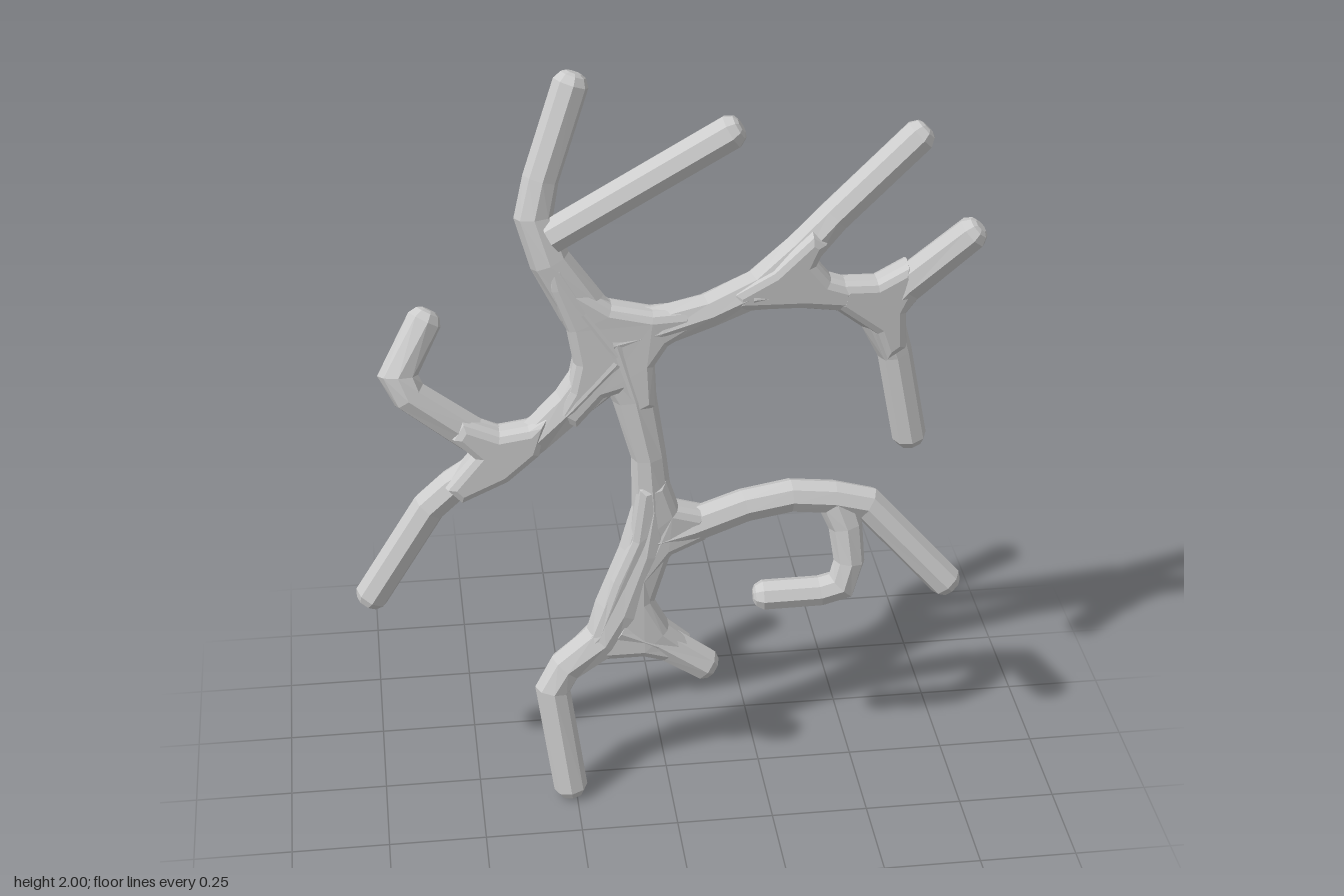
import * as THREE from 'three';

const material = new THREE.MeshStandardMaterial({ color: 0xcccccc, flatShading: true });
const SIDES = 8;
const R = 0.044;

// Octagonal limb through [x, y, z, radius?] points, with a blunt bevelled tip at its end.
function limb(name, pts) {
  const path = pts.map(p => ({ pos: new THREE.Vector3(p[0], p[1], p[2]), r: p[3] ?? R }));
  const last = path[path.length - 1];
  const end = last.pos.clone();
  const back = path[path.length - 2].pos.clone().sub(end).normalize();
  last.pos.addScaledVector(back, 0.026);
  path.push({ pos: end.clone().addScaledVector(back, 0.006), r: last.r * 0.72 });
  path.push({ pos: end, r: last.r * 0.42 });

  const front = new THREE.Vector3(0, 0, 1);
  const positions = [], index = [];
  const n = path.length;
  path.forEach(({ pos, r }, i) => {
    const a = path[Math.max(i - 1, 0)].pos, b = path[Math.min(i + 1, n - 1)].pos;
    const dirIn = pos.clone().sub(a).normalize(), dirOut = b.clone().sub(pos).normalize();
    const t = dirIn.clone().add(dirOut).normalize();
    const miter = i > 0 && i < n - 1 ? 1 / Math.max(0.8, t.dot(dirOut)) : 1;
    const u = front.clone().cross(t).normalize();
    const v = t.clone().cross(u);
    for (let k = 0; k < SIDES; k++) {
      const ang = (k / SIDES) * Math.PI * 2;
      const p = pos.clone().addScaledVector(u, Math.cos(ang) * r * miter).addScaledVector(v, Math.sin(ang) * Math.min(r, R));
      positions.push(p.x, p.y, p.z);
      if (i < n - 1) {
        const k2 = (k + 1) % SIDES, s = i * SIDES;
        index.push(s + k, s + k2, s + SIDES + k, s + k2, s + SIDES + k2, s + SIDES + k);
      }
    }
  });
  // end caps
  const e = (n - 1) * SIDES;
  for (let k = 1; k < SIDES - 1; k++) index.push(0, k + 1, k, e, e + k, e + k + 1);
  const geo = new THREE.BufferGeometry();
  geo.setAttribute('position', new THREE.Float32BufferAttribute(positions, 3));
  geo.setIndex(index);
  geo.computeVertexNormals();
  const mesh = new THREE.Mesh(geo, material);
  mesh.name = name;
  return mesh;
}

// The flat spread of branches drifts backward toward +x.
const depthAt = x => 0.045 - 0.18 * Math.max(0, x + 0.05);

// Bevelled web that fills a fork; its outline has concave fillets.
function web(name, outline) {
  const shape = new THREE.Shape(outline.map(p => new THREE.Vector2(p[0], p[1])));
  const bevel = 0.022;
  const geo = new THREE.ExtrudeGeometry(shape, {
    depth: 0.032, bevelEnabled: true, bevelSize: bevel, bevelOffset: -bevel,
    bevelThickness: 0.026, bevelSegments: 2, steps: 1,
  });
  const p = geo.attributes.position;
  for (let i = 0; i < p.count; i++) p.setZ(i, p.getZ(i) - 0.016 + depthAt(p.getX(i)));
  geo.computeVertexNormals();
  const mesh = new THREE.Mesh(geo, material);
  mesh.name = name;
  return mesh;
}

export function createModel() {
  const group = new THREE.Group();
  group.name = 'branch';

  group.add(
    // trunk and its foot
    limb('trunk', [
      [-0.13, 1.33, 0.045, 0.08], [-0.085, 1.17, 0.045, 0.055], [-0.05, 1.0, 0.045], [-0.04, 0.85, 0.04, 0.052],
      [-0.06, 0.72, 0.045, 0.068], [-0.12, 0.55, 0.05, 0.075], [-0.17, 0.46, 0.05, 0.055],
      [-0.27, 0.39, 0.06, 0.046], [-0.305, 0.33, 0.07], [-0.262, 0.005, 0.098]]),
    limb('footSpur', [[-0.13, 0.5, 0.05, 0.06], [-0.03, 0.445, 0.04, 0.05], [0.12, 0.335, 0.035]]),

    // lower arm with a hook hanging from it
    limb('lowerArm', [
      [-0.06, 0.75, 0.04, 0.055], [0.06, 0.775, 0.03, 0.046], [0.2, 0.81, 0.005], [0.32, 0.825, -0.005],
      [0.43, 0.81, -0.01], [0.52, 0.785, -0.01], [0.75, 0.53, 0.025]]),
    limb('lowerHook', [
      [0.44, 0.8, -0.01, 0.05], [0.465, 0.73, 0, 0.044], [0.475, 0.63, 0.015, 0.04], [0.455, 0.56, 0.02, 0.04],
      [0.4, 0.545, 0.02, 0.04], [0.225, 0.54, 0.015, 0.04]]),

    // upper limb with a forward prong
    limb('upperLimb', [
      [-0.13, 1.3, 0.045, 0.07], [-0.21, 1.42, 0.045, 0.062], [-0.285, 1.55, 0.045, 0.05],
      [-0.32, 1.66, 0.03, 0.046], [-0.3, 1.75, 0.015], [-0.212, 1.995, -0.03]]),
    limb('upperProng', [[-0.28, 1.615, 0.05], [0.165, 1.895, 0.098]]),

    // right limb and its forks
    limb('rightLimb', [
      [-0.14, 1.33, 0.045, 0.085], [-0.02, 1.355, 0.04, 0.055], [0.1, 1.38, 0.02, 0.045], [0.23, 1.42, -0.01, 0.05],
      [0.34, 1.5, -0.04, 0.05], [0.42, 1.58, -0.055], [0.645, 1.795, -0.07]]),
    limb('rightFork', [
      [0.2, 1.41, 0, 0.045], [0.32, 1.405, -0.03, 0.055], [0.45, 1.365, -0.06, 0.046],
      [0.55, 1.295, -0.08, 0.056], [0.592, 1.18, -0.09], [0.648, 0.9, -0.1]]),
    limb('rightForkTip', [[0.54, 1.29, -0.08, 0.06], [0.61, 1.375, -0.07, 0.05], [0.78, 1.545, -0.028]]),

    // left limb and its crook
    limb('leftLimb', [
      [-0.13, 1.28, 0.045, 0.08], [-0.24, 1.16, 0.045, 0.053], [-0.33, 1.07, 0.04, 0.047], [-0.43, 1.0, 0.035, 0.055],
      [-0.54, 0.935, 0.03, 0.044], [-0.6, 0.88, 0.03], [-0.77, 0.605, 0.03]]),
    limb('leftCrook', [
      [-0.4, 1.03, 0.035, 0.055], [-0.49, 1.085, 0.035, 0.048], [-0.635, 1.205, 0.04], [-0.66, 1.255, 0.03],
      [-0.575, 1.4, -0.025]]),

    // fillet webs in the forks
    web('crownWeb', [
      [-0.3, 1.58], [-0.25, 1.55], [-0.21, 1.48], [-0.14, 1.43], [-0.04, 1.405], [0.06, 1.4], [0.07, 1.345], [0, 1.31],
      [-0.035, 1.26], [-0.03, 1.15], [-0.09, 1.12], [-0.125, 1.19], [-0.16, 1.18], [-0.23, 1.1], [-0.29, 1.14],
      [-0.25, 1.21], [-0.235, 1.28], [-0.25, 1.37], [-0.29, 1.48]]),
    web('trunkWeb', [
      [-0.08, 0.92], [-0.005, 0.94], [0.025, 0.845], [0.1, 0.815], [0.1, 0.74], [0.01, 0.71], [-0.045, 0.64],
      [-0.045, 0.58], [0.0, 0.49], [0.06, 0.43], [0.03, 0.37], [-0.07, 0.41], [-0.17, 0.41], [-0.24, 0.375],
      [-0.27, 0.42], [-0.2, 0.5], [-0.15, 0.65], [-0.1, 0.77]]),
    web('rightWeb', [
      [0.16, 1.38], [0.16, 1.43], [0.26, 1.475], [0.36, 1.56], [0.4, 1.53], [0.375, 1.475], [0.41, 1.43],
      [0.48, 1.4], [0.46, 1.335], [0.34, 1.36]]),
    web('rightForkWeb', [
      [0.42, 1.35], [0.44, 1.415], [0.53, 1.405], [0.61, 1.44], [0.65, 1.39], [0.61, 1.31], [0.615, 1.21],
      [0.56, 1.18], [0.53, 1.26]]),
    web('leftWeb', [
      [-0.32, 1.03], [-0.3, 1.14], [-0.35, 1.11], [-0.42, 1.1], [-0.51, 1.14], [-0.54, 1.09], [-0.49, 1.035],
      [-0.56, 0.95], [-0.52, 0.905], [-0.4, 0.96]]),
  );
  return group;
}
